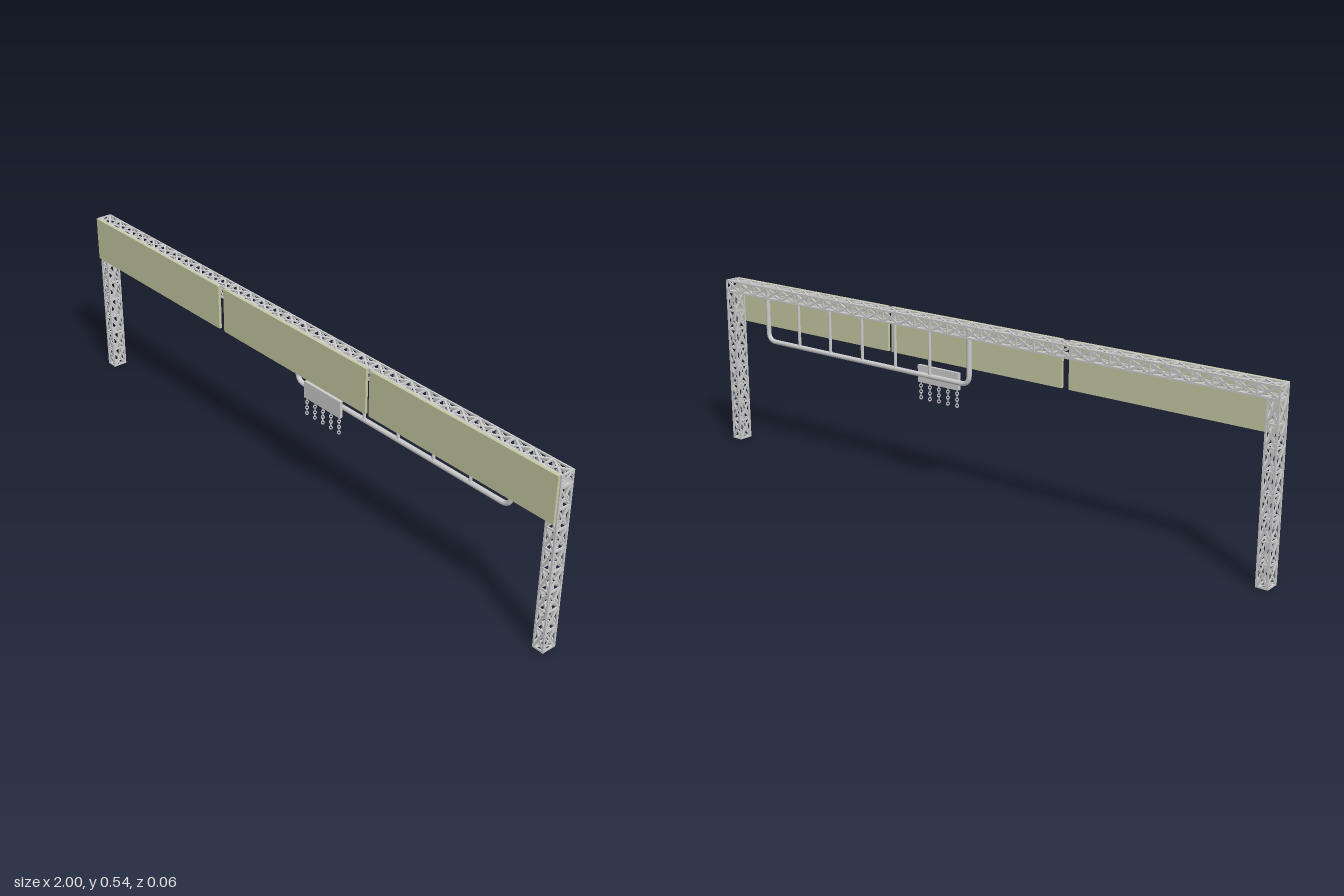
import * as THREE from 'three';
import { mergeGeometries } from 'three/addons/utils/BufferGeometryUtils.js';

const grey = new THREE.MeshStandardMaterial({ color: 0xcccccc });
const olive = new THREE.MeshStandardMaterial({ color: 0xc6c8a2 });
const V = (x, y, z) => new THREE.Vector3(x, y, z);

// Flat bar from a to b: width across, thickness along the face normal
function bar(a, b, normal, width, thick) {
  const y = b.clone().sub(a), len = y.length();
  y.normalize();
  const x = y.clone().cross(normal).normalize();
  const m = new THREE.Matrix4().makeBasis(x, y, x.clone().cross(y));
  m.setPosition(a.clone().add(b).multiplyScalar(0.5));
  return new THREE.BoxGeometry(width, len, thick).applyMatrix4(m);
}

// Upright box truss standing on y = 0, with crossed braces on all four sides
function truss(name, w, d, length, bays) {
  const t = 0.005, parts = [], x = (w - t) / 2, z = (d - t) / 2;
  const corners = [[-x, z], [x, z], [x, -z], [-x, -z]];
  const step = (length - t) / bays;
  corners.forEach(([ax, az], i) => {
    const [bx, bz] = corners[(i + 1) % 4];
    const n = V(ax + bx, 0, az + bz).normalize();
    parts.push(bar(V(ax, 0, az), V(ax, length, az), n, t, t));
    for (let k = 0; k <= bays; k++) {
      const y0 = t / 2 + k * step, y1 = y0 + step;
      parts.push(bar(V(ax, y0, az), V(bx, y0, bz), n, t, t * 0.9));
      if (k === bays) continue;
      parts.push(bar(V(ax, y0, az), V(bx, y1, bz), n, 0.006, 0.003));
      parts.push(bar(V(bx, y0, bz), V(ax, y1, az), n, 0.006, 0.0026));
    }
  });
  // crossed braces closing both ends
  for (const y of [t / 2, length - t / 2]) {
    parts.push(bar(V(-x, y, -z), V(x, y, z), V(0, 1, 0), 0.006, 0.003));
    parts.push(bar(V(x, y, -z), V(-x, y, z), V(0, 1, 0), 0.006, 0.0026));
  }
  const mesh = new THREE.Mesh(mergeGeometries(parts), grey);
  mesh.name = name;
  return mesh;
}

export function createModel() {
  const model = new THREE.Group();
  model.name = 'gantry';
  const add = (name, geo, mat, x = 0, y = 0, z = 0, parent = model) => {
    const m = new THREE.Mesh(geo, mat);
    m.name = name;
    m.position.set(x, y, z);
    parent.add(m);
    return m;
  };
  const zc = -0.004, depth = 0.047;

  // Legs and the crossing beam
  for (const s of [1, -1]) {
    const leg = truss(s > 0 ? 'leftLeg' : 'rightLeg', 0.037, depth, 0.503, 8);
    leg.position.set(s * 0.9815, 0, zc);
    model.add(leg);
  }
  const beam = truss('beam', 0.039, depth, 2, 32);
  beam.rotation.z = -Math.PI / 2;
  beam.position.set(-1, 0.5205, zc);
  model.add(beam);

  // Three sign panels on the front
  for (const [x0, x1] of [[-0.996, -0.337], [-0.313, 0.318], [0.332, 0.996]]) {
    add('signPanel', new THREE.BoxGeometry(x1 - x0, 0.14, 0.009), olive,
      (x0 + x1) / 2, 0.47, 0.0235);
  }

  // Hanging rail: long tube with rounded lower corners
  const rail = new THREE.CurvePath();
  const xl = 0, xr = 0.834, yb = 0.357, r = 0.03, top = 0.53;
  rail.add(new THREE.LineCurve3(V(xl, top, 0), V(xl, yb + r, 0)));
  rail.add(new THREE.QuadraticBezierCurve3(V(xl, yb + r, 0), V(xl, yb, 0), V(xl + r, yb, 0)));
  rail.add(new THREE.LineCurve3(V(xl + r, yb, 0), V(xr - r, yb, 0)));
  rail.add(new THREE.QuadraticBezierCurve3(V(xr - r, yb, 0), V(xr, yb, 0), V(xr, yb + r, 0)));
  rail.add(new THREE.LineCurve3(V(xr, yb + r, 0), V(xr, top, 0)));
  add('hangingRail', new THREE.TubeGeometry(rail, 160, 0.0075, 12), grey);
  for (let i = 1; i <= 5; i++) {
    add('railHanger', new THREE.CylinderGeometry(0.005, 0.005, top - yb, 10), grey,
      0.014 + i * 0.136, (top + yb) / 2, 0);
  }

  // Small plate on the rail with five hanging chains
  add('plate', new THREE.BoxGeometry(0.156, 0.053, 0.01), grey, 0.126, 0.356, 0.0125);
  for (let c = 0; c < 5; c++) {
    const chain = new THREE.Group();
    chain.name = 'chain';
    chain.position.set(0.058 + c * 0.035, 0.329, 0.0145);
    for (let k = 0; k < 6; k++) {
      const link = add('chainLink', new THREE.TorusGeometry(0.0042, 0.0017, 6, 12), grey,
        0, -0.003 - k * 0.0091, 0, chain);
      link.scale.y = 1.2;
      link.rotation.y = Math.PI / 4 * (k % 2 ? 1 : -1);
    }
    model.add(chain);
  }
  return model;
}
